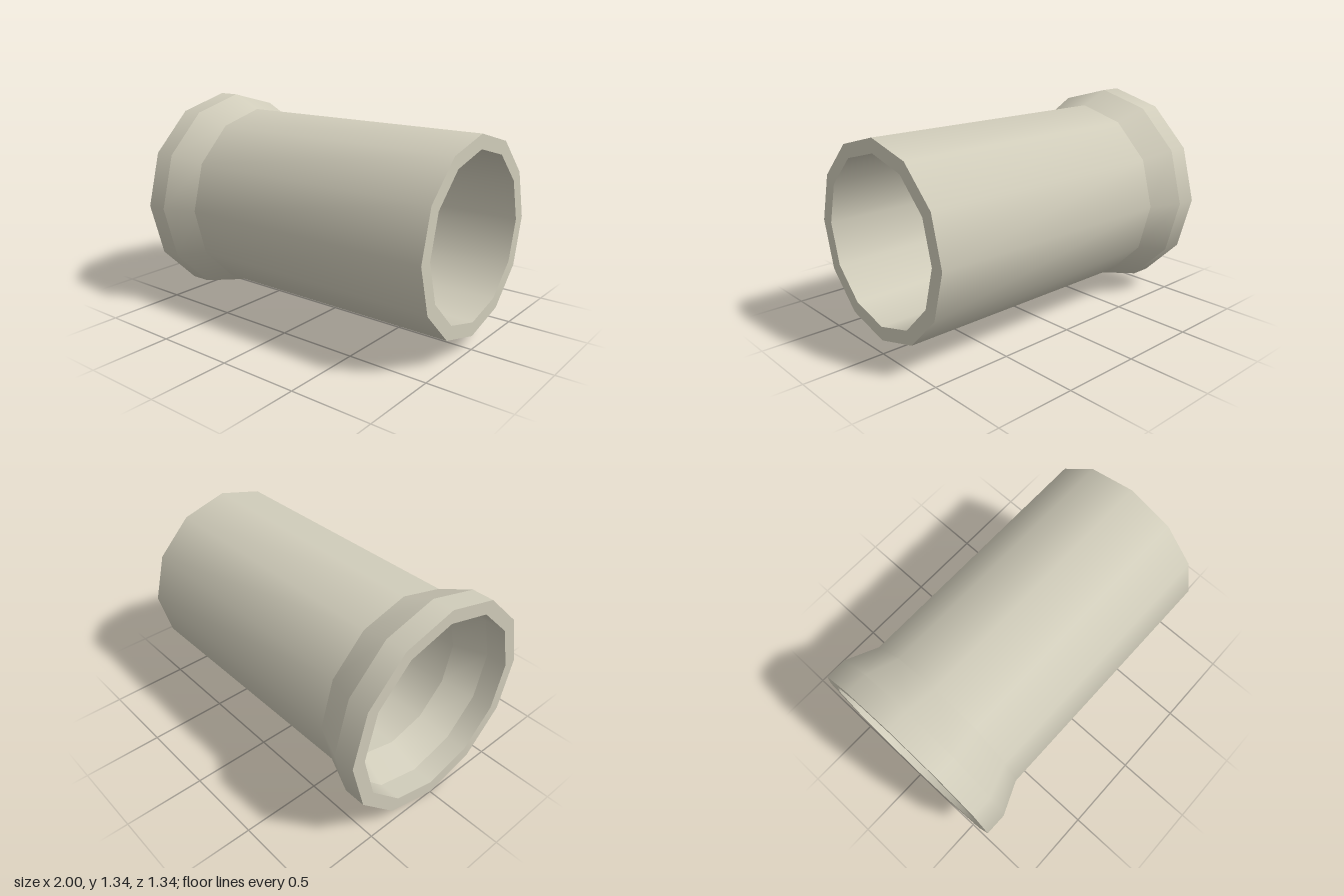
import * as THREE from 'three';
import { mergeGeometries } from 'three/addons/utils/BufferGeometryUtils.js';

const SIDES = 12;
const OUTER = 0.587, INNER = 0.502; // barrel radii
const COLLAR_OUTER = 0.672, COLLAR_INNER = 0.587;
const CONE_START = -0.865, CONE_END = -0.667; // flare, along x

// Revolves each profile step on its own: smooth around the axis, sharp between bands.
// Profile points are [radius, x]; rising x faces outward, falling x faces the bore.
function turned(name, profile, material) {
  const bands = profile.slice(1).map((end, i) =>
    new THREE.LatheGeometry([profile[i], end].map(([r, x]) => new THREE.Vector2(r, x)), SIDES));
  const geometry = mergeGeometries(bands);
  geometry.rotateZ(-Math.PI / 2); // lay the axis along x
  const mesh = new THREE.Mesh(geometry, material);
  mesh.name = name;
  return mesh;
}

export function createModel() {
  const group = new THREE.Group();
  group.name = 'pipe';
  const material = new THREE.MeshStandardMaterial({ color: 0xd0ccba });

  // Straight barrel: outside, end rim, bore
  group.add(turned('barrel', [
    [OUTER, CONE_END], [OUTER, 1], [INNER, 1], [INNER, CONE_END],
  ], material));

  // Flared socket: bore cone, socket bore, end rim, collar, outside cone
  group.add(turned('flaredSocket', [
    [INNER, CONE_END], [COLLAR_INNER, CONE_START], [COLLAR_INNER, -1],
    [COLLAR_OUTER, -1], [COLLAR_OUTER, CONE_START], [OUTER, CONE_END],
  ], material));

  group.position.y = COLLAR_OUTER;
  return group;
}
